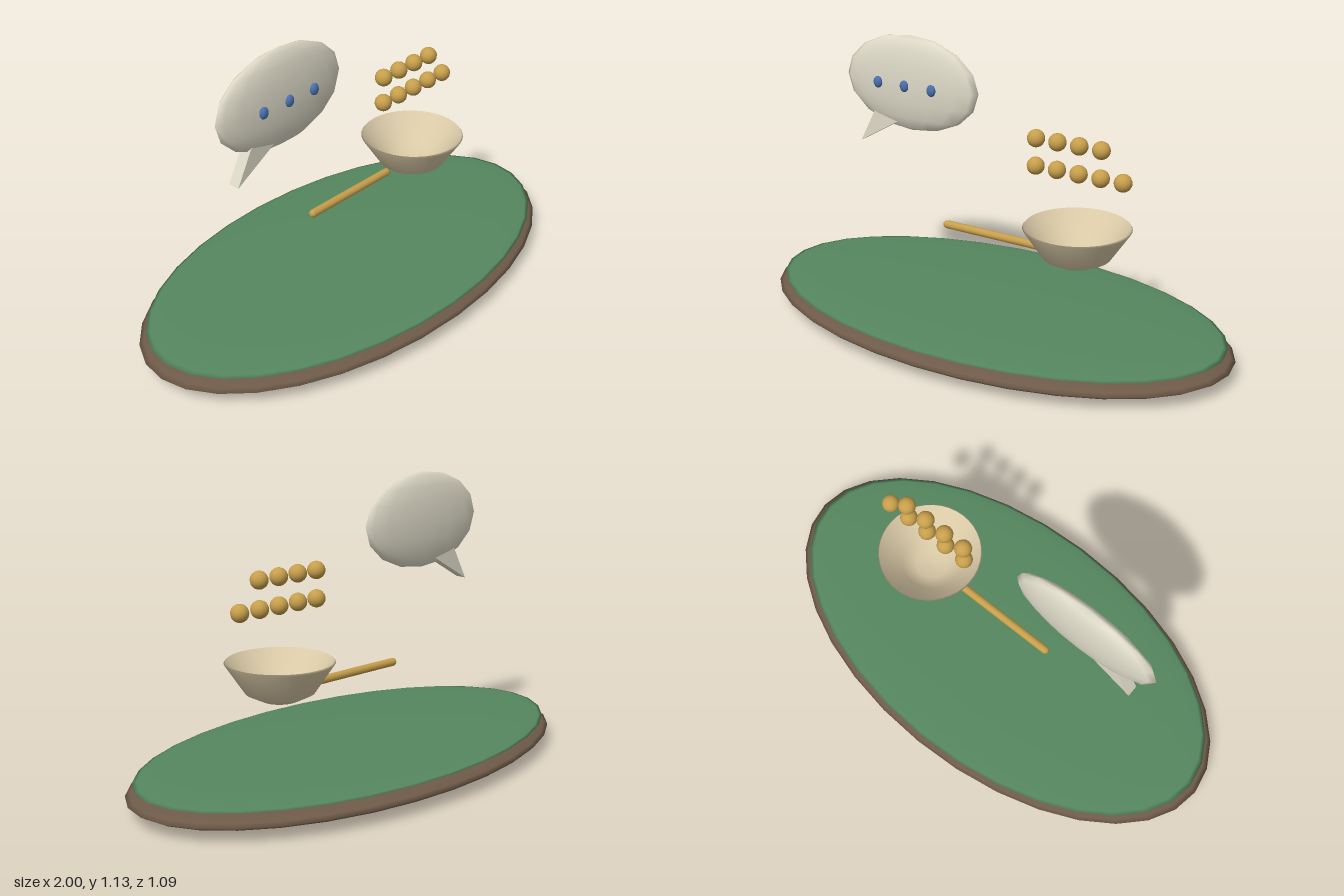
import * as THREE from 'three';

const mat = (color, side = THREE.FrontSide) => new THREE.MeshStandardMaterial({ color, side });

export function createModel() {
  const model = new THREE.Group();
  const brown = mat(0x6e5a48), green = mat(0x55875f), gold = mat(0xc79f4b);
  const cream = mat(0xd9c9a6, THREE.DoubleSide), pale = mat(0xdedac8), blue = mat(0x4a70b0);

  const add = (name, geometry, material, x, y, z = 0, parent = model) => {
    const mesh = new THREE.Mesh(geometry, material);
    mesh.name = name;
    mesh.position.set(x, y, z);
    parent.add(mesh);
    return mesh;
  };
  const ellipsoid = (rx, ry, rz, w, h) => new THREE.SphereGeometry(1, w, h).scale(rx, ry, rz);

  // Oval table: rounded wooden base with a thin felt top
  add('tableBase', ellipsoid(1, 0.06, 0.545, 32, 16), brown, 0, 0.06);
  add('tableFelt', ellipsoid(0.97, 0.018, 0.525, 32, 16), green, 0, 0.105);

  // Bowl, outside from the foot up to the rim, then down the inside
  const bowlProfile = [
    [0, 0.35], [0.07, 0.35], [0.13, 0.38], [0.205, 0.492],
    [0.2, 0.498], [0.115, 0.392], [0.06, 0.365], [0, 0.363],
  ].map(([r, y]) => new THREE.Vector2(r, y));
  add('bowl', new THREE.LatheGeometry(bowlProfile, 40), cream, 0.37, 0);

  // Stick lying beside the bowl
  add('stick', new THREE.CapsuleGeometry(0.016, 0.425, 3, 12).rotateZ(Math.PI / 2), gold, -0.002, 0.384);

  // Two rows of beads over the bowl
  const beads = new THREE.Group();
  beads.name = 'beads';
  model.add(beads);
  const beadGeometry = new THREE.SphereGeometry(0.034, 16, 12);
  [[4, 0.81], [5, 0.703]].forEach(([count, y]) => {
    for (let i = 0; i < count; i++) add('bead', beadGeometry, gold, 0.188 + i * 0.091, y, 0, beads);
  });

  // Speech bubble with pointed tail and three dots
  const bubble = new THREE.Group();
  bubble.name = 'speechBubble';
  model.add(bubble);
  add('bubbleBody', ellipsoid(0.31, 0.19, 0.048, 16, 8), pale, -0.375, 0.938, 0, bubble);
  const tail = new THREE.Shape([
    new THREE.Vector2(-0.612, 0.674), new THREE.Vector2(-0.42, 0.785), new THREE.Vector2(-0.54, 0.81),
  ]);
  const tailGeometry = new THREE.ExtrudeGeometry(tail, { depth: 0.046, bevelEnabled: false });
  add('bubbleTail', tailGeometry, pale, 0, 0, -0.023, bubble);
  const dotGeometry = ellipsoid(0.019, 0.023, 0.013, 16, 12);
  for (let i = -1; i <= 1; i++) add('bubbleDot', dotGeometry, blue, -0.375 + i * 0.126, 0.936, 0.049, bubble);

  return model;
}
